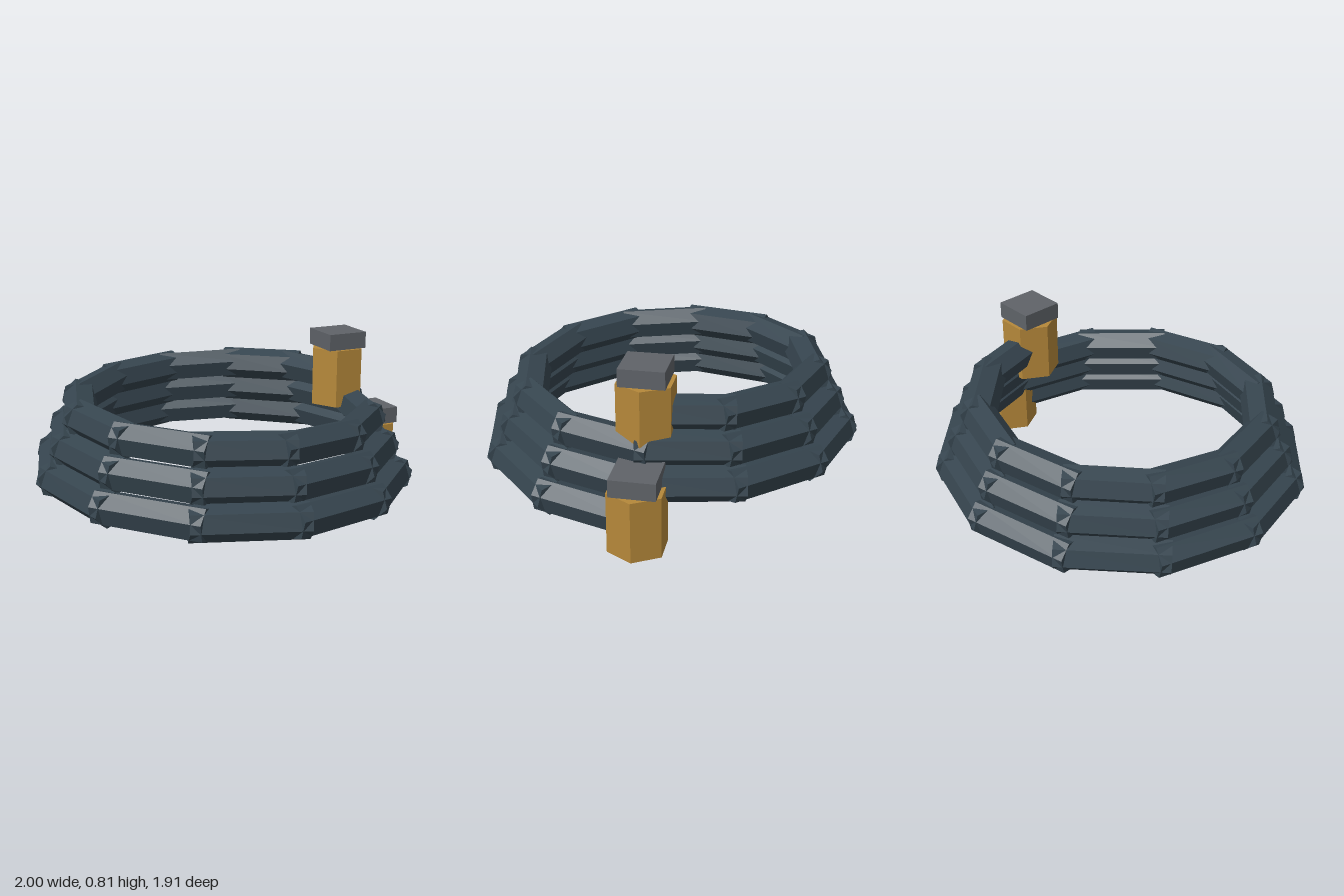
import * as THREE from 'three';

const material = (name, color) => {
  const m = new THREE.MeshStandardMaterial({ color, flatShading: true });
  m.name = name;
  return m;
};

export function createModel() {
  const group = new THREE.Group();
  const rubber = material('dark rubber', 0x36454f);
  const brass = material('brass', 0xb5883a);
  const grey = material('grey metal', 0x5f6368);

  const centreX = -0.045, centreZ = -0.02;
  const turns = 3, perTurn = 12, count = turns * perTurn;
  const tubeRadius = 0.085, overlap = 0.045;
  const up = new THREE.Vector3(0, 1, 0);

  // Coil path: rises and tightens with each turn
  const pathPoint = (i) => {
    const t = i / count, a = t * turns * Math.PI * 2;
    const r = 0.9 - 0.215 * t;
    return new THREE.Vector3(
      centreX + r * Math.cos(a), 0.138 + 0.432 * t, centreZ + r * Math.sin(a));
  };

  const add = (name, geometry, mat, parent) => {
    const mesh = new THREE.Mesh(geometry, mat);
    mesh.name = name;
    parent.add(mesh);
    return mesh;
  };

  // Hose: straight six-sided lengths that overlap at the joints
  const hose = new THREE.Group();
  hose.name = 'coiledHose';
  group.add(hose);
  for (let i = 0; i < count; i++) {
    const a = pathPoint(i), b = pathPoint(i + 1);
    const direction = b.clone().sub(a);
    const length = direction.length() + overlap * 2;
    const segment = add('hoseSegment',
      new THREE.CylinderGeometry(tubeRadius, tubeRadius, length, 6, 1, false, Math.PI / 6),
      rubber, hose);
    segment.position.copy(a).add(b).multiplyScalar(0.5);
    segment.quaternion.setFromUnitVectors(up, direction.normalize());
  }

  // Couplings: upright hexagonal barrel with a square cap at each hose end
  const addCoupling = (name, x, y) => {
    const coupling = new THREE.Group();
    coupling.name = name;
    coupling.position.set(x, y, centreZ);
    group.add(coupling);
    add('couplingBarrel',
      new THREE.CylinderGeometry(0.145, 0.145, 0.3, 6, 1, false, Math.PI / 6),
      brass, coupling).position.y = 0.15;
    add('couplingCap', new THREE.BoxGeometry(0.212, 0.085, 0.215),
      grey, coupling).position.y = 0.3425;
  };
  addCoupling('lowerCoupling', 0.855, 0);
  addCoupling('upperCoupling', 0.64, 0.43);

  return group;
}
